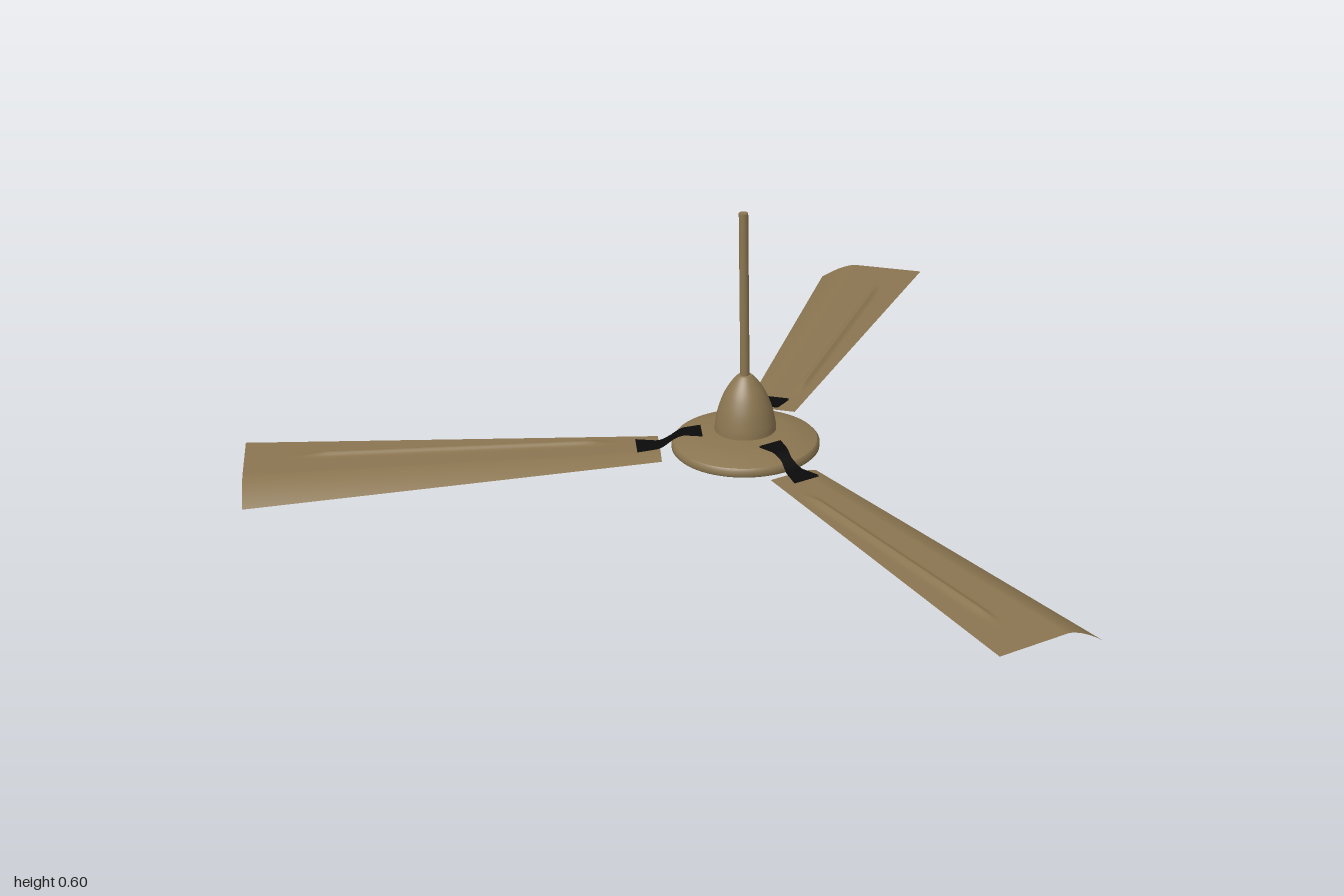
import * as THREE from 'three';

const bronze = new THREE.MeshStandardMaterial({ color: 0x8a7550, side: THREE.DoubleSide });
const black = new THREE.MeshStandardMaterial({ color: 0x0a0a0a, side: THREE.DoubleSide });
const { lerp, smoothstep } = THREE.MathUtils;

function mesh(name, geometry, material = bronze) {
  const m = new THREE.Mesh(geometry, material);
  m.name = name;
  return m;
}

// Lathe with hard edges: each profile segment group is smooth within itself
function lathe(points, segments = 64) {
  return new THREE.LatheGeometry(points.map(([r, y]) => new THREE.Vector2(r, y)), segments);
}

// A sheet lying flat, its unit grid (u along, w across) reshaped by a rule
function sheet(nu, nw, rule) {
  const g = new THREE.PlaneGeometry(1, 1, nu, nw).rotateX(-Math.PI / 2);
  const p = g.attributes.position;
  for (let i = 0; i < p.count; i++) {
    p.setXYZ(i, ...rule(p.getX(i) + 0.5, p.getZ(i) + 0.5));
  }
  g.computeVertexNormals();
  return g;
}

// Tapered blade: flat, with one drooping edge and a pressed rib
function bladeGeometry() {
  return sheet(40, 60, (u, w) => {
    const r = lerp(0.195, 1.127, u);
    const half = lerp(0.061, 0.131, u);
    const v = (w * 2 - 1) * half + 0.004 * u;
    const t = Math.max(0, (0.34 - w) / 0.34);
    const droop = lerp(0.008, 0.042, u) * Math.pow(t, 1.5);
    const ribCentre = lerp(0.036, 0.054, u);
    const ribEnds = smoothstep(r, 0.3, 0.36) * (1 - smoothstep(r, 0.94, 1.01));
    const rib = 0.008 * ribEnds * Math.exp(-Math.pow((v - ribCentre) / 0.009, 2));
    return [r, 0.042 - droop + rib, v];
  });
}

// Waisted bracket stepping down from the motor to the blade
function bracketGeometry(lift) {
  return sheet(24, 2, (u, w) => {
    const waist = lerp(0.013, 0.033, Math.pow(Math.abs(u - 0.45) / 0.55, 1.1));
    const y = lerp(0.077, 0.047, smoothstep(u, 0.25, 0.7)) + lift;
    return [lerp(0.1, 0.248, u), y, (w * 2 - 1) * waist];
  });
}

export function createModel() {
  const root = new THREE.Group();
  root.name = 'ceilingFan';
  const fan = new THREE.Group();
  fan.name = 'fan';
  fan.position.set(-0.136, 0, 0.075);
  root.add(fan);

  // Motor housing, in bands so that the edges stay crisp
  const housing = new THREE.Group();
  housing.name = 'motorHousing';
  const bands = [
    ['bottomPlate', [[0.0001, 0.014], [0.12, 0.012]]],
    ['lowerSlope', [[0.12, 0.012], [0.132, 0.018], [0.148, 0.026]]],
    ['lowerStep', [[0.148, 0.026], [0.164, 0.033]]],
    ['rim', [[0.164, 0.033], [0.168, 0.037], [0.168, 0.048], [0.163, 0.054]]],
    ['topSlope', [[0.163, 0.054], [0.135, 0.064], [0.1, 0.072], [0.0001, 0.075]]],
  ];
  for (const [name, pts] of bands) housing.add(mesh(name, lathe(pts)));
  fan.add(housing);

  // Bell-shaped canopy over the motor
  const bell = new THREE.SplineCurve([
    [0.07, 0.08], [0.068, 0.1], [0.06, 0.135], [0.046, 0.17], [0.028, 0.198], [0.016, 0.211],
  ].map(([r, y]) => new THREE.Vector2(r, y)));
  fan.add(mesh('canopy', new THREE.LatheGeometry(bell.getPoints(24), 48)));
  fan.add(mesh('canopyTop', lathe([[0.016, 0.211], [0.0105, 0.212]], 48)));

  // Down rod and its neck
  const rod = mesh('downRod', new THREE.CylinderGeometry(0.0105, 0.0105, 0.53, 24));
  rod.position.y = 0.335;
  const neck = mesh('neck', new THREE.CylinderGeometry(0.03, 0.03, 0.03, 32));
  neck.position.y = 0.083;
  fan.add(rod, neck);

  // Three blades with brackets
  const blade = bladeGeometry();
  const bracketTop = bracketGeometry(0.003);
  const bracketUnder = bracketGeometry(0);
  [15, 132.5, 244.7].forEach((angle) => {
    const arm = new THREE.Group();
    arm.name = 'bladeArm';
    arm.add(mesh('blade', blade), mesh('bracketTop', bracketTop, black), mesh('bracketUnderside', bracketUnder, black));
    arm.rotation.y = -THREE.MathUtils.degToRad(angle);
    fan.add(arm);
  });
  return root;
}
